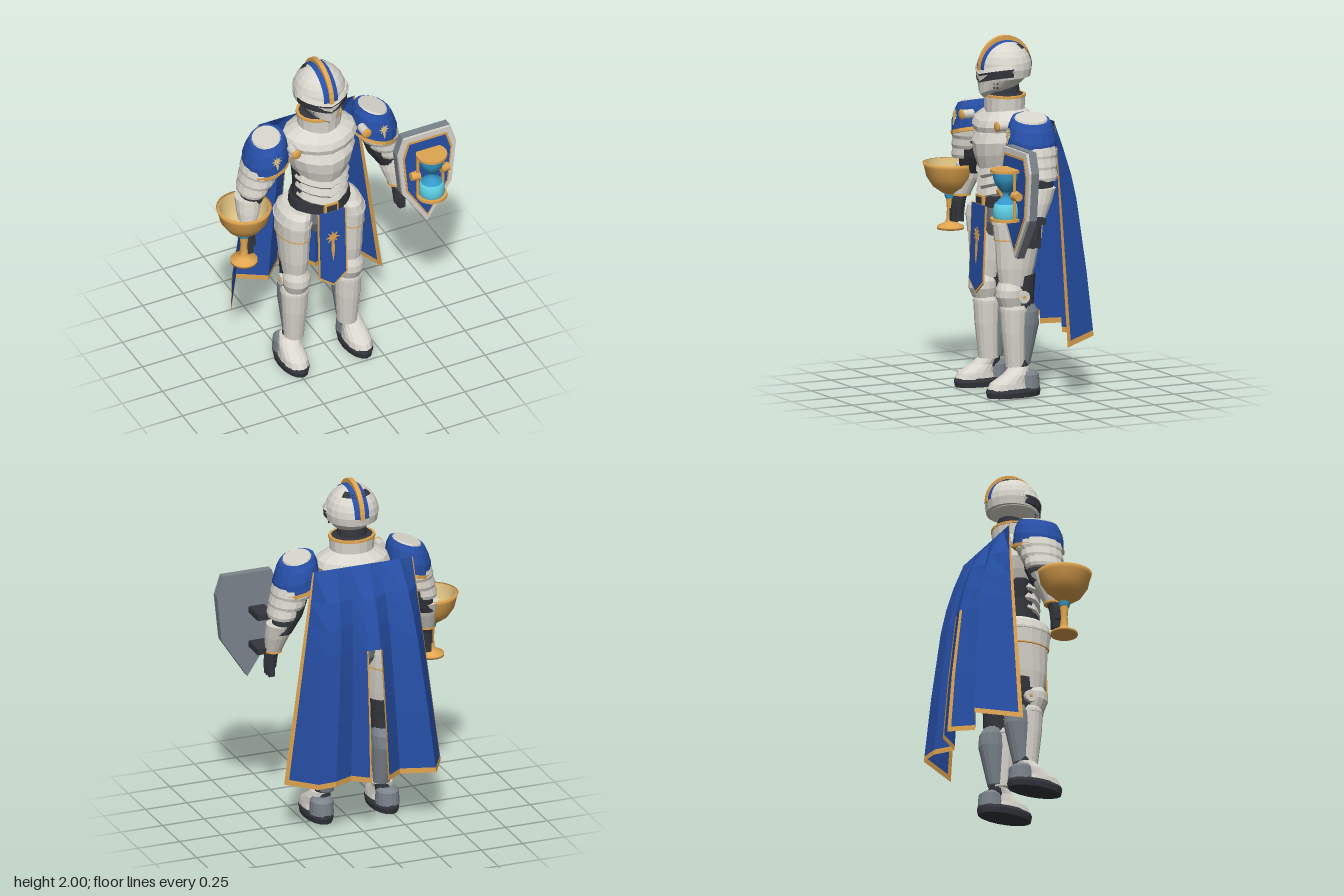
import * as THREE from 'three';

const mat = (name, color, side = THREE.FrontSide) => {
  const m = new THREE.MeshStandardMaterial({ color, side });
  m.name = name;
  return m;
};
const WHITE = mat('ivory plate', 0xd9d6cd), STEEL = mat('grey steel', 0x7c848c), DARK = mat('dark leather', 0x33363c);
const BLUE = mat('blue cloth', 0x2750a8, THREE.DoubleSide), GOLD = mat('gold', 0xe0a550, THREE.DoubleSide);
const CREAM = mat('pale gold', 0xdcc080), GLASS = mat('blue glass', 0x3598c8), SAND = mat('cyan sand', 0x5ccbe0);

function add(parent, name, geo, material, x = 0, y = 0, z = 0) {
  const m = new THREE.Mesh(geo, material);
  m.name = name;
  m.position.set(x, y, z);
  parent.add(m);
  return m;
}

function flat(tris) {
  const g = new THREE.BufferGeometry();
  g.setAttribute('position', new THREE.Float32BufferAttribute(tris.flat(), 3));
  g.computeVertexNormals();
  return g;
}

// Faceted stack of ellipses [y, rx, rz, cx, cz]; dip pulls the front down into a V
function loft(parent, name, material, secs, dip = 0, n = 16) {
  const rows = [...secs].sort((a, b) => a[0] - b[0]);
  const p = (i, [y, rx, rz, cx = 0, cz = 0.03]) => {
    const a = (i / n) * Math.PI * 2, s = Math.sin(a);
    return [cx + rx * Math.cos(a), y - (s > 0 ? dip * (1 - Math.abs(Math.cos(a))) : 0), cz + rz * s];
  };
  const t = [], lo = rows[0], hi = rows[rows.length - 1];
  const mid = ([y, , , cx = 0, cz = 0.03]) => [cx, y - dip / 3, cz];
  for (let i = 0; i < n; i++) {
    for (let k = 0; k < rows.length - 1; k++) {
      const a = p(i, rows[k]), b = p(i + 1, rows[k]), c = p(i + 1, rows[k + 1]), d = p(i, rows[k + 1]);
      t.push(a, d, b, b, d, c);
    }
    t.push(mid(hi), p(i + 1, hi), p(i, hi), mid(lo), p(i, lo), p(i + 1, lo));
  }
  return add(parent, name, flat(t), material);
}

const band = (parent, name, y, h, rx, rz, cx, cz, m = GOLD) =>
  loft(parent, name, m, [[y - h / 2, rx, rz, cx, cz], [y + h / 2, rx, rz, cx, cz]]);

const shape = pts => new THREE.Shape(pts.map(([x, y]) => new THREE.Vector2(x, y)));
const plate = (parent, name, pts, depth, m, x, y, z) =>
  add(parent, name, new THREE.ExtrudeGeometry(shape(pts), { depth, bevelEnabled: false }), m, x, y, z);

// Thin star with a long tapered lower blade
function star(parent, m, r, blade, x, y, z) {
  const g = new THREE.Group(), pts = [];
  g.name = 'starOrnament';
  g.position.set(x, y, z);
  parent.add(g);
  for (let i = 0; i < 16; i++) {
    const a = (i / 16) * Math.PI * 2, q = i % 2 ? r * 0.4 : r;
    pts.push([q * Math.sin(a), q * Math.cos(a)]);
  }
  plate(g, 'starRays', pts, 0.005, m, 0, 0, 0);
  plate(g, 'starBlade', [[-0.15 * r, 0], [-0.25 * r, -0.5 * blade], [0, -blade], [0.25 * r, -0.5 * blade], [0.15 * r, 0]], 0.006, m, 0, 0, 0);
  return g;
}

function buildHead(g) {
  const dome = [[1.775, 0.143, 0.146]];
  for (let i = 0; i <= 6; i++) {
    const a = (i / 6) * 1.5;
    dome.push([1.82 + 0.152 * Math.sin(a), 0.15 * Math.cos(a), 0.154 * Math.cos(a)]);
  }
  loft(g, 'helmetDome', WHITE, dome, 0, 20);
  // The visor parts sit forward so the back of the helmet stays plain
  loft(g, 'visorBrow', WHITE, [[1.832, 0.156, 0.13, 0, 0.062], [1.858, 0.146, 0.121, 0, 0.06]], 0.04, 20);
  loft(g, 'eyeSlit', DARK, [[1.785, 0.147, 0.124, 0, 0.063], [1.834, 0.151, 0.125, 0, 0.063]], 0.04, 20);
  loft(g, 'faceGuard', WHITE, [[1.7, 0.065, 0.09, 0, 0.07], [1.72, 0.092, 0.11, 0, 0.07],
    [1.77, 0.132, 0.138, 0, 0.046], [1.82, 0.152, 0.151, 0, 0.04]], 0.04, 20);
  // Painted stripe and raised crest running front to back
  const stripe = new THREE.SphereGeometry(1, 24, 4, Math.PI / 2, Math.PI, Math.PI / 2 - 0.285, 0.57);
  stripe.rotateZ(Math.PI / 2).scale(0.153, 0.155, 0.157);
  add(g, 'helmetStripe', stripe, BLUE, 0, 1.82, 0.03);
  const arc = [];
  for (let i = 0; i <= 33; i++) {
    const a = -0.03 + ((i < 17 ? i : 33 - i) / 16) * (Math.PI + 0.06), d = i < 17 ? 0 : 0.035;
    arc.push([(0.164 - d) * Math.cos(a), (0.18 - d) * Math.sin(a)]);
  }
  const crest = new THREE.ExtrudeGeometry(shape(arc), { depth: 0.026, bevelEnabled: false });
  crest.translate(0, 0, -0.013).rotateY(-Math.PI / 2);
  add(g, 'helmetCrest', crest, GOLD, 0, 1.82, 0.03);
  const vent = new THREE.SphereGeometry(1, 12, 2, Math.PI * 1.5 - 0.95, 1.9, 0.5, 0.27);
  vent.scale(0.154, 0.154, 0.158);
  add(g, 'rearVent', vent, DARK, 0, 1.82, 0.03);
  for (const s of [-1, 1]) for (let i = 0; i < 4; i++)
    add(g, 'breathHole', new THREE.BoxGeometry(0.008, 0.012, 0.008), DARK,
      s * (0.088 + 0.01 * (i % 2)), 1.725 + 0.025 * (i >> 1), 0.138 - 0.014 * (i % 2));
  loft(g, 'neck', DARK, [[1.56, 0.11, 0.09], [1.676, 0.118, 0.1], [1.68, 0.085, 0.085], [1.73, 0.08, 0.08]]);
}

function buildTorso(g) {
  loft(g, 'gorget', WHITE, [[1.55, 0.122, 0.108], [1.67, 0.13, 0.113]]);
  band(g, 'gorgetTrim', 1.668, 0.014, 0.134, 0.116);
  loft(g, 'collarPlate', WHITE, [[1.485, 0.205, 0.165], [1.515, 0.22, 0.172], [1.55, 0.205, 0.158], [1.575, 0.165, 0.132], [1.595, 0.126, 0.111]], 0.02);
  loft(g, 'breastplate', WHITE, [[1.29, 0.155, 0.15], [1.36, 0.185, 0.17], [1.43, 0.205, 0.177], [1.485, 0.19, 0.15]], 0.03);
  loft(g, 'undersuit', DARK, [[1.05, 0.165, 0.13], [1.2, 0.153, 0.135], [1.4, 0.175, 0.14]]);
  // Overlapping belly plates on the front only
  for (let i = 0; i < 3; i++) {
    const y = 1.31 - i * 0.06, r = 0.163 - i * 0.004;
    loft(g, 'bellyPlate', WHITE, [[y - 0.062, r - 0.012, 0.112, 0, 0.058], [y - 0.045, r, 0.126, 0, 0.058], [y, r - 0.012, 0.11, 0, 0.058]], 0.045);
  }
  loft(g, 'belt', DARK, [[1.05, 0.18, 0.15], [1.115, 0.175, 0.145]]);
  add(g, 'buckleFrame', new THREE.BoxGeometry(0.085, 0.06, 0.02), GOLD, 0, 1.083, 0.178);
  add(g, 'buckleCentre', new THREE.BoxGeometry(0.06, 0.038, 0.008), DARK, 0, 1.083, 0.187);
  loft(g, 'pelvis', STEEL, [[0.88, 0.09, 0.09], [0.96, 0.16, 0.125], [1.05, 0.175, 0.14]]);
  // Hanging front cloth
  const cloth = new THREE.Group();
  cloth.name = 'tabard';
  cloth.position.set(0, 1.06, 0.183);
  cloth.rotation.x = -0.04;
  g.add(cloth);
  const outline = (w, e) => [[-w, 0], [-w, -0.435 + e], [0, -0.5 + e * 1.4], [w, -0.435 + e], [w, 0]];
  plate(cloth, 'tabardTrim', outline(0.088, 0), 0.008, GOLD, 0, 0, 0);
  plate(cloth, 'tabardCloth', outline(0.079, 0.01), 0.012, BLUE, 0, 0, -0.002);
  star(cloth, GOLD, 0.043, 0.16, 0, -0.17, 0.009);
}

function buildLeg(g, s) {
  const x = s * 0.165, f = s * 0.197;
  loft(g, 'tasset', WHITE, [[0.88, 0.09, 0.142, x], [0.98, 0.092, 0.152, x], [1.03, 0.084, 0.145, s * 0.155], [1.055, 0.07, 0.12, s * 0.14]]);
  band(g, 'tassetTrim', 0.882, 0.007, 0.092, 0.144, x);
  band(g, 'tassetLame', 0.975, 0.012, 0.096, 0.157, x, 0.03, WHITE);
  loft(g, 'thigh', WHITE, [[0.62, 0.066, 0.09, x, 0.05], [0.72, 0.078, 0.112, x, 0.045], [0.89, 0.086, 0.136, x, 0.03]]);
  loft(g, 'kneeJoint', DARK, [[0.48, 0.06, 0.08, x, 0.015], [0.58, 0.062, 0.08, x, 0.015], [0.68, 0.07, 0.1, x, 0.025]]);
  loft(g, 'kneeCap', WHITE, [[0.505, 0.064, 0.068, x, 0.07], [0.56, 0.079, 0.083, x, 0.08], [0.6, 0.078, 0.08, x, 0.08], [0.64, 0.058, 0.065, x, 0.08]]);
  const wing = new THREE.CylinderGeometry(0.036, 0.036, 0.03, 10).rotateZ(Math.PI / 2);
  add(g, 'kneeWing', wing, WHITE, x + s * 0.066, 0.56, 0.03);
  const stud = new THREE.CylinderGeometry(0.01, 0.01, 0.036, 8).rotateZ(Math.PI / 2);
  add(g, 'kneeStud', stud, GOLD, x + s * 0.066, 0.56, 0.03);
  loft(g, 'calf', STEEL, [[0.17, 0.045, 0.05, x, 0.01], [0.4, 0.066, 0.085, x, -0.01], [0.47, 0.066, 0.08, x, -0.01], [0.52, 0.055, 0.06, x, 0]]);
  loft(g, 'greave', WHITE, [[0.16, 0.056, 0.057, x, 0.045], [0.36, 0.071, 0.07, x, 0.055], [0.49, 0.077, 0.077, x, 0.055], [0.51, 0.07, 0.07, x, 0.055]]);
  band(g, 'greaveBand', 0.48, 0.012, 0.08, 0.08, x, 0.055, WHITE);
  loft(g, 'ankle', DARK, [[0.11, 0.046, 0.05, s * 0.185, 0.02], [0.2, 0.044, 0.048, s * 0.172, 0.025]]);
  loft(g, 'shoe', WHITE, [[0.045, 0.074, 0.135, f, 0.1], [0.08, 0.07, 0.115, f, 0.1], [0.125, 0.062, 0.075, f, 0.06], [0.165, 0.056, 0.056, s * 0.185, 0.03]]);
  loft(g, 'heelGuard', STEEL, [[0.045, 0.068, 0.075, f, -0.008], [0.12, 0.064, 0.07, f, -0.008], [0.14, 0.05, 0.055, f, 0]]);
  loft(g, 'sole', DARK, [[0, 0.076, 0.16, f, 0.075], [0.03, 0.082, 0.167, f, 0.075], [0.05, 0.076, 0.16, f, 0.075]]);
}

function buildArm(g, s) {
  // Shoulder guard, leaning inwards towards its top
  const p = new THREE.Group(), lean = -s * 0.052;
  p.name = 'pauldron';
  p.position.set(s * 0.358, 1.49, 0.032);
  p.rotation.z = -s * 0.27;
  g.add(p);
  loft(p, 'pauldronShell', BLUE, [[-0.085, 0.133, 0.144, 0, 0], [-0.01, 0.131, 0.142, lean * 0.35, 0], [0.045, 0.118, 0.128, lean * 0.75, 0], [0.08, 0.1, 0.11, lean, 0]]);
  loft(p, 'pauldronCap', WHITE, [[0.075, 0.084, 0.1, lean, 0], [0.09, 0.076, 0.092, lean, 0]]);
  band(p, 'pauldronTrim', -0.078, 0.02, 0.136, 0.147, 0, 0);
  star(p, CREAM, 0.03, 0.06, lean * 0.6, 0.012, 0.139).rotation.set(-0.12, 0, s * 0.27);
  const clasp = new THREE.CylinderGeometry(0.026, 0.026, 0.07, 10).rotateX(Math.PI / 2);
  add(g, 'clasp', clasp, WHITE, s * 0.218, 1.53, 0.152);
  const knob = new THREE.SphereGeometry(0.03, 12, 8).scale(1, 1, 0.4);
  add(g, 'claspKnob', knob, GOLD, s * 0.218, 1.53, 0.187);
  // Overlapping upper arm plates over a dark sleeve
  for (let i = 0; i < 3; i++) {
    const y = 1.45 - i * 0.06, c = s * (0.348 + i * 0.027), r = 0.115 - i * 0.015, q = 0.135 - i * 0.011;
    loft(g, 'armPlate', WHITE, [[y - 0.08, r - 0.006, q - 0.008, c + s * 0.018], [y - 0.06, r, q, c + s * 0.014], [y, r - 0.004, q - 0.004, c]]);
  }
  loft(g, 'sleeve', DARK, [[1.16, 0.06, 0.07, s * 0.43, 0.02], [1.26, 0.08, 0.088, s * 0.385, 0.02], [1.36, 0.085, 0.09, s * 0.355, 0.025]]);
  loft(g, 'forearm', WHITE, [[1.03, 0.045, 0.048, s * 0.458, 0.065], [1.13, 0.068, 0.07, s * 0.445, 0.04], [1.21, 0.075, 0.08, s * 0.437, 0.02]]);
  band(g, 'wristTrim', 1.035, 0.012, 0.05, 0.053, s * 0.458, 0.065);
  loft(g, 'glove', DARK, [[0.93, 0.038, 0.04, s * 0.47, 0.085], [1, 0.04, 0.042, s * 0.465, 0.08], [1.035, 0.036, 0.04, s * 0.46, 0.068]], 0, 8);
  for (let i = 0; i < 4; i++)
    add(g, 'finger', new THREE.BoxGeometry(0.036, 0.07, 0.0175), DARK, s * 0.47, 0.914 + 0.004 * (i % 2), 0.06 + i * 0.0185);
  add(g, 'thumb', new THREE.BoxGeometry(0.02, 0.05, 0.022), DARK, s * 0.44, 0.945, 0.1);
}

// Split, folded cape with gold hems
function buildCape(root) {
  const mix = (a, b, t) => a.map((v, i) => v + (b[i] - v) * t);
  const trim = c => [c[0], mix(c[0], c[1], 0.09), ...c.slice(1, -1), mix(c[c.length - 2], c[c.length - 1], 0.87), c[c.length - 1]];
  const right = trim([[-0.515, -0.125], [-0.39, -0.365], [-0.21, -0.275], [-0.09, -0.39]]);
  const left = trim([[0, -0.375], [0.08, -0.265], [0.2, -0.335], [0.31, -0.345], [0.425, -0.125]]);
  const cols = [...right, ...left], gap = right.length - 1;
  const T = [0, 0.14, 0.26, 0.37, 0.7, 0.975, 1], F = [0, 0.38, 0.57, 0.69, 0.88, 0.99, 1];
  const pt = ([x, z], k) => {
    const top = -0.045 + (x + 0.045) * 0.64, hem = 0.3 - (z + 0.125) * 0.15;
    return [top + (x - top) * T[k], 1.55 + (hem - 1.55) * T[k], -0.13 + (z + 0.13) * F[k]];
  };
  const blue = [], gold = [];
  for (let i = 0; i < cols.length - 1; i++) for (let k = 0; k < T.length - 1; k++) {
    if (i === gap && k > 2) continue;
    const edge = i === 0 || i === cols.length - 2 || ((i === gap - 1 || i === gap + 1) && k > 2);
    const a = pt(cols[i], k), b = pt(cols[i + 1], k), c = pt(cols[i + 1], k + 1), d = pt(cols[i], k + 1);
    (edge || k === T.length - 2 ? gold : blue).push(a, b, d, b, c, d);
  }
  add(root, 'cape', flat(blue), BLUE);
  add(root, 'capeHem', flat(gold), GOLD);
}

const lathe = (parent, name, m, pts, x, z) =>
  add(parent, name, new THREE.LatheGeometry(pts.map(([r, y]) => new THREE.Vector2(r, y)), 28), m, x, 0, z);

function buildGoblet(root) {
  const g = new THREE.Group(), x = -0.55, z = 0.11;
  g.name = 'goblet';
  root.add(g);
  lathe(g, 'gobletBody', GOLD, [[0, 0.835], [0.076, 0.835], [0.076, 0.85], [0.035, 0.87], [0.022, 0.89], [0.02, 0.95],
    [0.024, 1], [0.024, 1.03], [0.045, 1.038], [0.098, 1.075], [0.134, 1.13], [0.148, 1.19], [0.156, 1.21], [0.138, 1.21]], x, z);
  lathe(g, 'gobletLining', CREAM, [[0.138, 1.21], [0.122, 1.14], [0.09, 1.09], [0, 1.06]], x, z);
  add(g, 'gobletBand', new THREE.CylinderGeometry(0.034, 0.03, 0.024, 20), GLASS, x, 1.02, z);
}

function buildShield(root) {
  const g = new THREE.Group(), x = 0.515, z = 0.305;
  g.name = 'shield';
  root.add(g);
  const half = [[0.145, 0.275], [0.183, 0.16], [0.155, -0.11]];
  const outline = (sx, sy) => [...half, [0, -0.345], ...half.map(([a, b]) => [-a, b]).reverse()].map(([a, b]) => [a * sx, b * sy]);
  plate(g, 'shieldBack', outline(1, 1), 0.045, STEEL, x, 1.19, 0.19);
  plate(g, 'shieldRim', outline(0.98, 0.985), 0.015, WHITE, x, 1.19, 0.235);
  plate(g, 'shieldTrim', outline(0.83, 0.87), 0.004, GOLD, x, 1.19, 0.25);
  plate(g, 'shieldField', outline(0.77, 0.825), 0.007, BLUE, x, 1.19, 0.25);
  for (const y of [1.245, 1.04])
    add(g, 'armStrap', new THREE.BoxGeometry(0.095, 0.036, 0.14), DARK, 0.462, y, 0.122);
  // Hourglass mounted on the face
  lathe(g, 'glassBulbs', GLASS, [[0.06, 1.165], [0.03, 1.195], [0.013, 1.215], [0.03, 1.235], [0.06, 1.275], [0.072, 1.31], [0.072, 1.345]], x, z);
  lathe(g, 'sand', SAND, [[0.068, 1.08], [0.074, 1.1], [0.072, 1.13], [0.061, 1.165], [0, 1.168]], x, z);
  for (const y of [1.075, 1.35])
    add(g, 'hourglassCap', new THREE.CylinderGeometry(0.088, 0.088, 0.016, 24), GOLD, x, y, z);
  for (const s of [-1, 1]) {
    add(g, 'hourglassPost', new THREE.CylinderGeometry(0.009, 0.009, 0.27, 8), GOLD, x + s * 0.078, 1.213, 0.29);
    const knob = new THREE.CylinderGeometry(0.024, 0.03, 0.05, 12).rotateZ(-s * Math.PI / 2);
    add(g, 'postKnob', knob, GOLD, x + s * 0.092, 1.215, 0.283);
  }
}

export function createModel() {
  const root = new THREE.Group();
  root.name = 'armouredKnight';
  const body = new THREE.Group();
  body.name = 'body';
  body.position.x = -0.045;
  root.add(body);
  buildHead(body);
  buildTorso(body);
  for (const s of [-1, 1]) {
    buildLeg(body, s);
    buildArm(body, s);
  }
  buildCape(root);
  buildGoblet(root);
  buildShield(root);
  return root;
}
